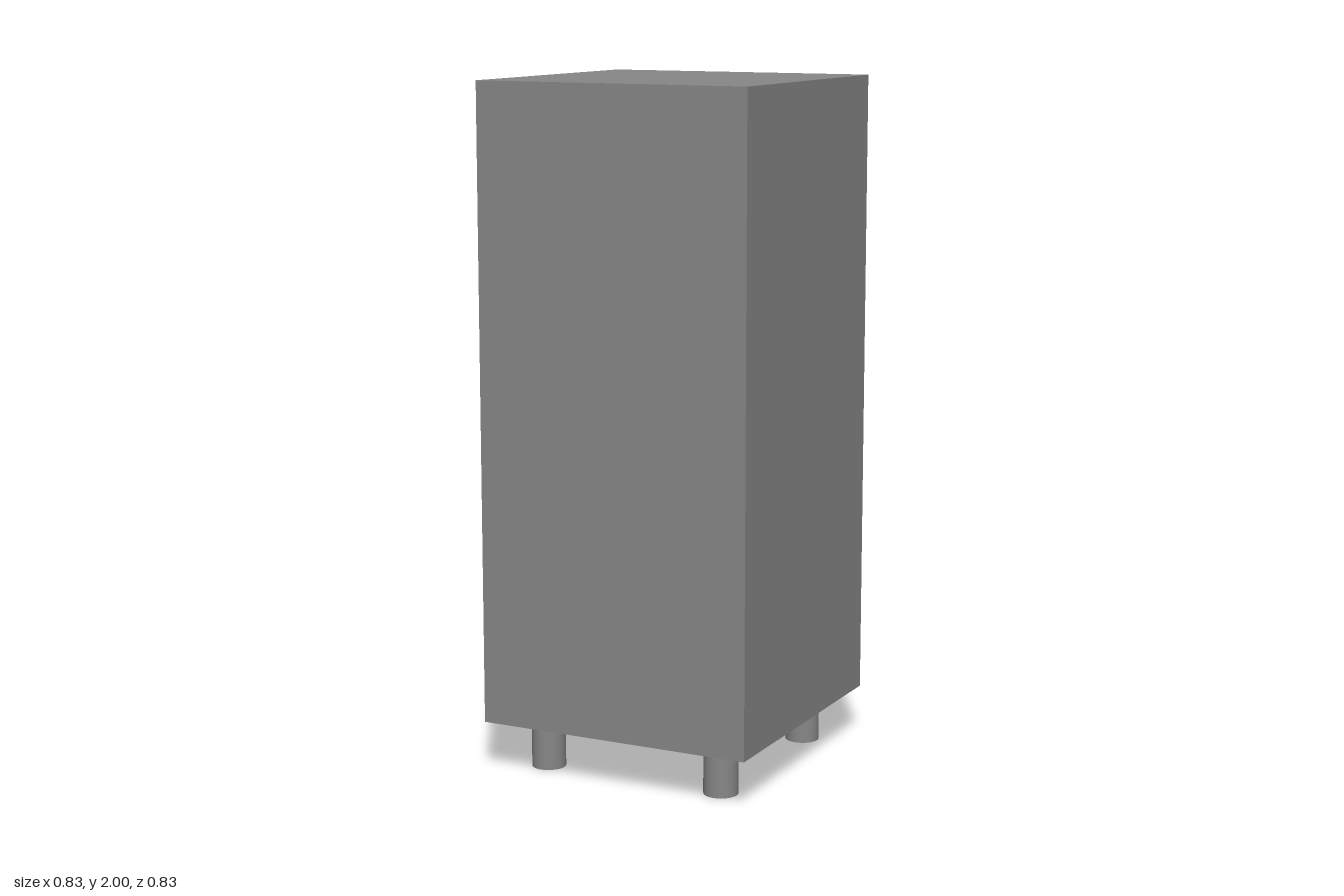
import * as THREE from 'three';

const W = 0.832;          // width and depth
const BASE = 0.15;        // underside of the carcass
const TOP = 2;
const T = 0.046;          // board thickness
const MID = (BASE + TOP) / 2;
const GAP = 0.006;        // clearance above and below the door
const SIDE_GAP = 0.004;   // clearance beside the door

export function createModel() {
  const group = new THREE.Group();
  const material = new THREE.MeshStandardMaterial({ color: 0x878787 });

  const add = (name, geometry, x, y, z) => {
    const mesh = new THREE.Mesh(geometry, material);
    mesh.name = name;
    mesh.position.set(x, y, z);
    group.add(mesh);
  };

  const rect = (Type, x0, y0, x1, y1) => {
    const path = new Type();
    path.moveTo(x0, y0).lineTo(x1, y0).lineTo(x1, y1).lineTo(x0, y1).closePath();
    return path;
  };

  // Carcass: two stacked compartments, both opening toward -z
  const inner = W / 2 - T;
  const frame = rect(THREE.Shape, -W / 2, BASE, W / 2, TOP);
  for (const [low, high] of [[BASE, MID], [MID, TOP]]) {
    frame.holes.push(rect(THREE.Path, -inner, low + T, inner, high - T));
  }
  add('carcass', new THREE.ExtrudeGeometry(frame, { depth: W - T, bevelEnabled: false }), 0, 0, -W / 2);

  // Closed panel on the +z side
  add('closedPanel', new THREE.BoxGeometry(W, TOP - BASE, T), 0, MID, W / 2 - T / 2);

  // Inset door, flush with the open side, over the lower compartment
  const doorHeight = MID - BASE - 2 * T - 2 * GAP;
  add('door', new THREE.BoxGeometry(2 * (inner - SIDE_GAP), doorHeight, T), 0, (BASE + MID) / 2, -W / 2 + T / 2);

  // Round legs, set slightly toward the open side
  for (const x of [-0.28, 0.28]) {
    for (const z of [-0.29, 0.28]) {
      add('leg', new THREE.CylinderGeometry(0.05, 0.05, BASE, 32), x, BASE / 2, z);
    }
  }

  return group;
}
